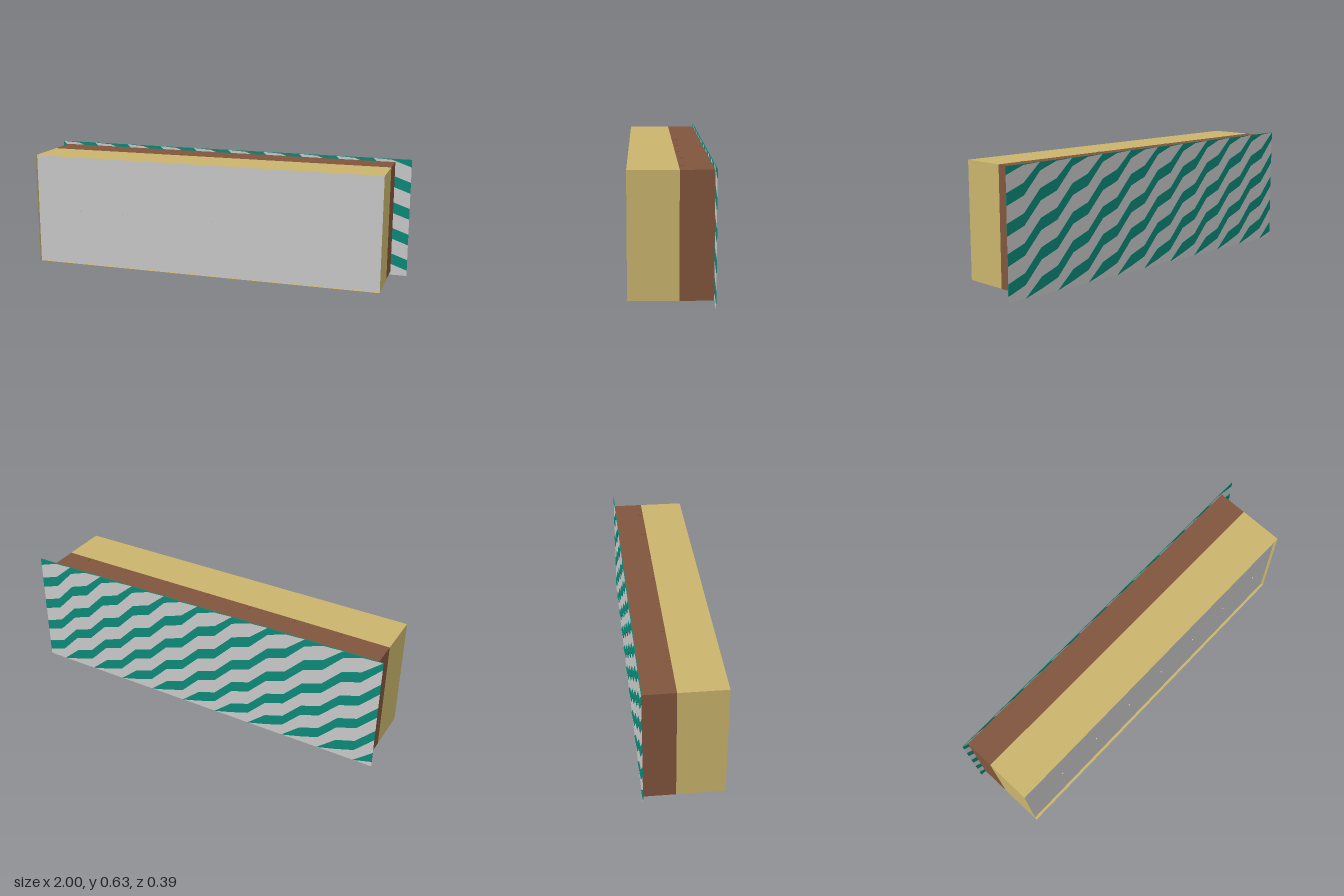
import * as THREE from 'three';

const mat = (name, color, side = THREE.FrontSide) => {
  const m = new THREE.MeshStandardMaterial({ color, side });
  m.name = name;
  return m;
};

export function createModel() {
  const group = new THREE.Group();
  const tan = mat('tan', 0xc9b46c, THREE.DoubleSide);
  const brown = mat('brown', 0x80553c);
  const grey = mat('grey', 0xc8c9c8, THREE.DoubleSide);
  const teal = mat('teal', 0x0c8978);

  const add = (name, geometry, material, x, y, z) => {
    const mesh = new THREE.Mesh(geometry, material);
    mesh.name = name;
    mesh.position.set(x, y, z);
    group.add(mesh);
    return mesh;
  };

  const left = -0.97, right = 0.915, low = 0.02, high = 0.614;
  const w = right - left, h = high - low, cx = (left + right) / 2, cy = (low + high) / 2;
  const front = 0.197, seam = -0.038, back = -0.194, sheetZ = -0.1965;

  // Front layer: four thin walls, open at the front
  const depth = front - seam, midZ = (front + seam) / 2;
  for (const s of [-1, 1]) {
    const side = new THREE.PlaneGeometry(depth, h).rotateY(s * Math.PI / 2);
    add('frontLayerSide', side, tan, cx + s * w / 2, cy, midZ);
    const cap = new THREE.PlaneGeometry(w, depth).rotateX(-s * Math.PI / 2);
    add('frontLayerCap', cap, tan, cx, cy + s * h / 2, midZ);
  }

  // Slightly recessed front panel and its row of pin tips
  add('frontPanel', new THREE.PlaneGeometry(w, h), grey, cx, cy, front - 0.014);
  for (let i = 0; i < 7; i++) {
    const x = -0.725 + i * 0.251;
    const pin = new THREE.CylinderGeometry(0.004, 0.004, 0.006, 8).rotateX(Math.PI / 2);
    add('pinTip', pin, grey, x, cy, front - 0.012);
    // Low clips showing above and below the back layer
    for (const y of [low, high])
      add('edgeClip', new THREE.BoxGeometry(0.008, 0.004, 0.028), brown, x, y, -0.056);
  }

  // Back layer
  add('backLayer', new THREE.BoxGeometry(w, h, seam - back), brown, cx, cy, (seam + back) / 2);

  // Backing sheet, wider than the block
  const sheetH = 0.63;
  add('backingSheet', new THREE.PlaneGeometry(2, sheetH), grey, 0, sheetH / 2, sheetZ);

  // Stepped diagonal bands, showing on both faces of the sheet
  const pitch = 0.14, thick = 0.058, step = 0.1;
  const shapes = [];
  const clampY = y => Math.min(sheetH, Math.max(0, y));
  for (let col = 0; col < 20; col++) {
    const x0 = 1 - col * step, x1 = x0 - step;
    const odd = col % 2;
    const rise0 = odd ? 0.035 : 0, rise1 = odd ? pitch : 0.035;
    for (let k = -1; k < 5; k++) {
      const a = k * pitch + rise0 + 0.03, b = k * pitch + rise1 + 0.03;
      const pts = [[x1, b], [x0, a], [x0, a + thick], [x1, b + thick]]
        .map(([x, y]) => new THREE.Vector2(x, clampY(y)))
        .filter((p, i, all) => all.findIndex(q => q.equals(p)) === i);
      if (pts.length > 2) shapes.push(new THREE.Shape(pts));
    }
  }
  const bands = new THREE.ExtrudeGeometry(shapes, { depth: 0.003, bevelEnabled: false });
  add('sheetBands', bands, teal, 0, 0, sheetZ - 0.0015);

  return group;
}
